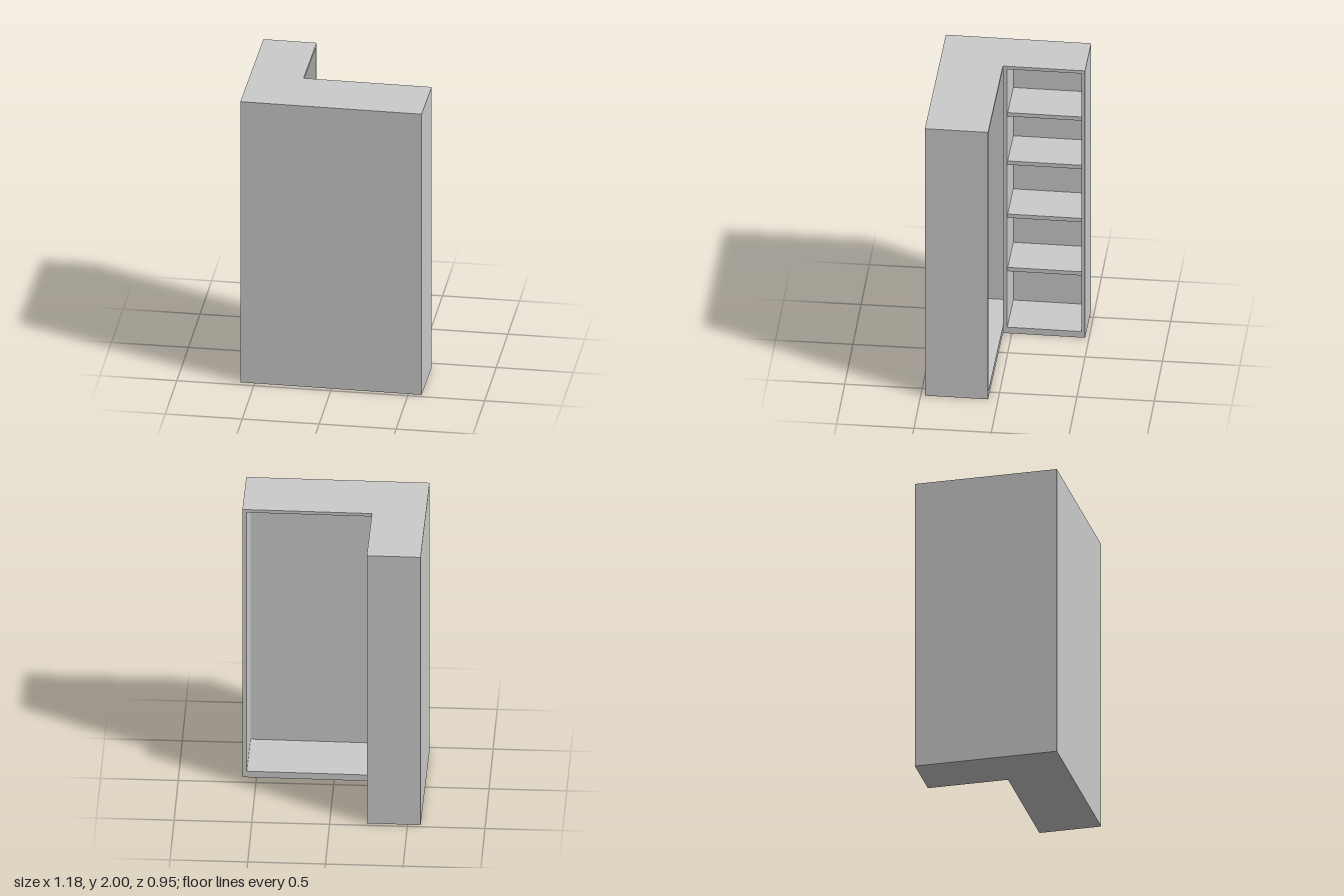
import * as THREE from 'three';

const material = new THREE.MeshStandardMaterial({ color: 0xcccccc, flatShading: true });

// Outer limits of the L-shaped plan
const LEFT = 0.591, RIGHT = -0.589, FRONT = 0.468, BACK = -0.472;
const INNER_X = -0.243, INNER_Z = 0.059;
const FLOOR = 0.045, CEILING = 1.978, SIDE = 0.028, END = 0.022, SKIN = 0.005;

// Box given by its limits on each axis
function panel(name, x0, x1, y0, y1, z0, z1) {
  const mesh = new THREE.Mesh(new THREE.BoxGeometry(x1 - x0, y1 - y0, z1 - z0), material);
  mesh.position.set((x0 + x1) / 2, (y0 + y1) / 2, (z0 + z1) / 2);
  mesh.name = name;
  return mesh;
}

// Horizontal L-shaped slab
function slab(name, y0, y1) {
  const shape = new THREE.Shape([
    [RIGHT, -FRONT], [LEFT, -FRONT], [LEFT, -INNER_Z],
    [INNER_X, -INNER_Z], [INNER_X, -BACK], [RIGHT, -BACK],
  ].map(([x, y]) => new THREE.Vector2(x, y)));
  const geometry = new THREE.ExtrudeGeometry(shape, { depth: y1 - y0, bevelEnabled: false });
  geometry.rotateX(-Math.PI / 2);
  const mesh = new THREE.Mesh(geometry, material);
  mesh.position.y = y0;
  mesh.name = name;
  return mesh;
}

export function createModel() {
  const model = new THREE.Group();
  model.name = 'cornerCabinet';

  const cabinet = new THREE.Group();
  cabinet.name = 'cabinet';
  cabinet.rotation.y = -0.0095; // stands very slightly askew
  model.add(cabinet);

  // Base and top
  cabinet.add(slab('base', 0, FLOOR), slab('top', CEILING, 2));

  // Upright panels
  const upright = (name, x0, x1, z0, z1) => cabinet.add(panel(name, x0, x1, FLOOR, CEILING, z0, z1));
  upright('frontPanel', RIGHT, LEFT, FRONT - SKIN, FRONT);
  upright('leftSide', LEFT - SIDE, LEFT, INNER_Z, FRONT - SKIN);
  upright('rightSide', RIGHT, RIGHT + SKIN, BACK, FRONT - SKIN);
  upright('divider', RIGHT + SKIN, INNER_X, INNER_Z - SIDE, INNER_Z);
  upright('wingEnd', RIGHT + SKIN, INNER_X, BACK, BACK + END);

  // Shelves of the wing, set back from its open side
  for (const y of [0.45, 0.85, 1.248, 1.61]) {
    cabinet.add(panel('shelf', RIGHT + SKIN, INNER_X - 0.025, y, y + 0.028, BACK + END, INNER_Z - SIDE));
  }
  return model;
}
